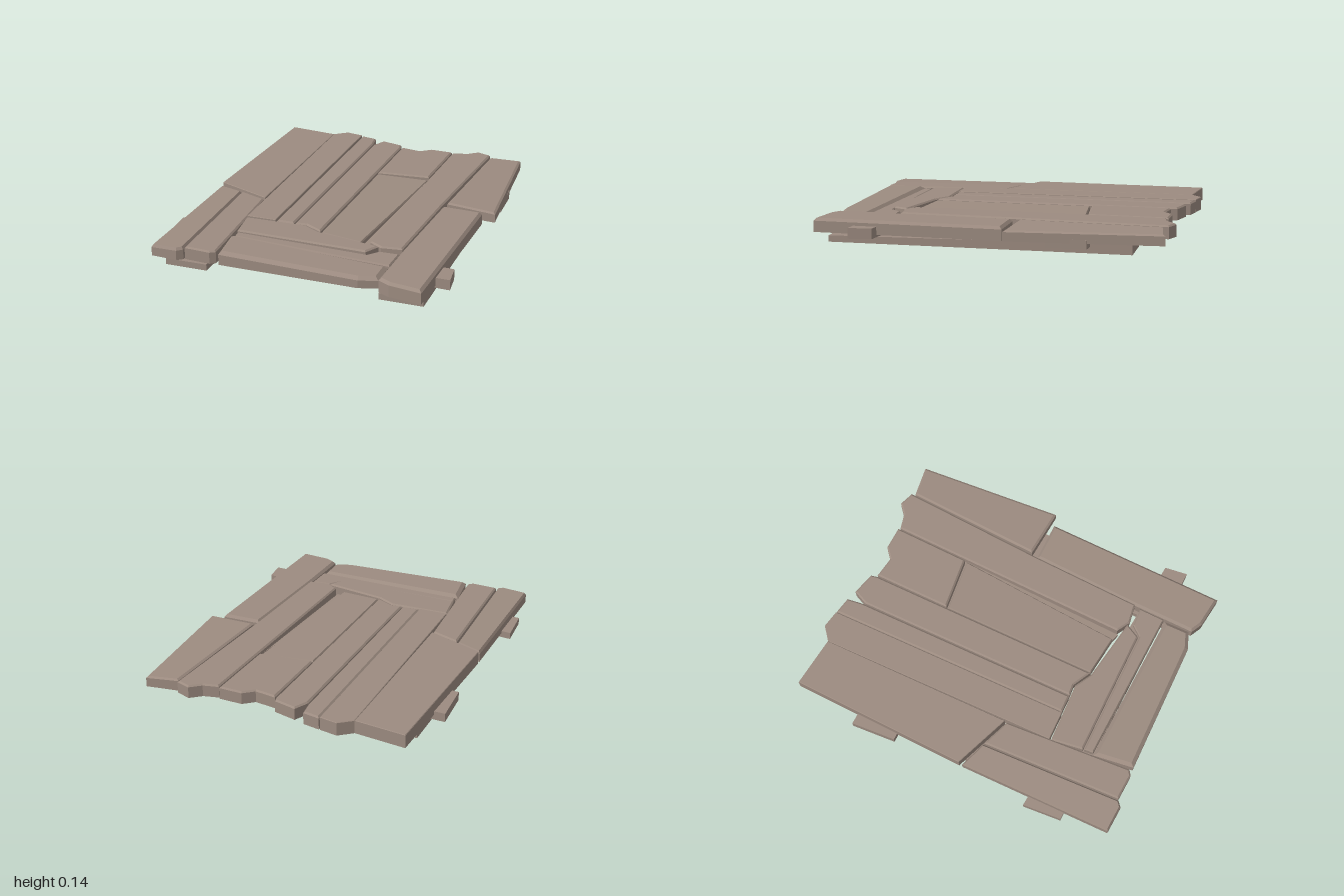
import * as THREE from 'three';

const wood = new THREE.MeshStandardMaterial({ color: 0x9c8b80 });
wood.name = 'weathered wood';
wood.flatShading = true;

const at = (x, z) => new THREE.Vector2(x, z);

// Moves each edge of a closed outline inwards by d, with mitred corners
function inset(pts, d) {
  const n = pts.length;
  const inward = (a, b) => at(a.y - b.y, b.x - a.x).normalize();
  return pts.map((p, i) => {
    const n1 = inward(pts[(i + n - 1) % n], p);
    const n2 = inward(p, pts[(i + 1) % n]);
    return p.clone().addScaledVector(n1.clone().add(n2), d / Math.max(0.5, 1 + n1.dot(n2)));
  });
}

// Slab over a clockwise outline: flat underside, tilted top, chamfered upper edge
function slab(name, outline, { y0 = 0.065, top = 0.137, tx = 0, tz = 0, bevel = 0.009, drop = 0.008 } = {}) {
  const lid = bevel ? inset(outline, bevel) : outline;
  const height = p => top + tx * p.x + tz * p.y;
  const rings = [outline.map(p => [p.x, y0, p.y])];
  if (bevel) rings.push(outline.map(p => [p.x, height(p) - drop, p.y]));
  rings.push(lid.map(p => [p.x, height(p), p.y]));

  const pos = [];
  const tri = (a, b, c) => pos.push(...a, ...b, ...c);
  const n = outline.length;
  for (let r = 0; r + 1 < rings.length; r++) {
    const lo = rings[r], hi = rings[r + 1];
    for (let i = 0; i < n; i++) {
      const j = (i + 1) % n;
      tri(lo[i], hi[i], hi[j]);
      tri(lo[i], hi[j], lo[j]);
    }
  }
  const last = rings[rings.length - 1];
  for (const [a, b, c] of THREE.ShapeUtils.triangulateShape(outline, [])) {
    tri(rings[0][a], rings[0][b], rings[0][c]);
    tri(last[a], last[c], last[b]);
  }
  const geo = new THREE.BufferGeometry();
  geo.setAttribute('position', new THREE.Float32BufferAttribute(pos, 3));
  geo.computeVertexNormals();
  const mesh = new THREE.Mesh(geo, wood);
  mesh.name = name;
  return mesh;
}

// Board as two long edges, each from back to front; broken ends add points between them
function board(name, left, right, { back = [], front = [], ...form } = {}) {
  const [lb, lf] = left, [rb, rf] = right;
  return slab(name, [lb, ...back, rb, rf, ...front, lf], form);
}

// Boards running front to back
function longBoards() {
  const group = new THREE.Group();
  group.name = 'longBoards';
  group.add(
    board('wideLeftBoard', [at(-0.75, -0.97), at(-0.785, 0.055)], [at(-0.46, -0.935), at(-0.46, 0.185)],
      { top: 0.14, bevel: 0.003, drop: 0.003 }),
    board('leftInnerBoard', [at(-0.46, -0.935), at(-0.45, 0.455)], [at(-0.283, -0.975), at(-0.28, 0.455)],
      { top: 0.14, bevel: 0.003, drop: 0.003, back: [at(-0.385, -0.995)] }),
    board('narrowBoard', [at(-0.277, -0.975), at(-0.274, 0.452)], [at(-0.168, -0.86), at(-0.172, 0.452)],
      { back: [at(-0.18, -0.955)] }),
    board('centreBoard', [at(-0.16, -0.85), at(-0.166, 0.452)], [at(0.018, -0.86), at(0.003, 0.503)],
      { back: [at(-0.12, -0.935), at(0.01, -0.9)], front: [at(-0.1, 0.447)] }),
    board('shortBackBoard', [at(0.027, -0.865), at(0.02, -0.415)], [at(0.345, -0.89), at(0.33, -0.445)],
      { back: [at(0.15, -0.845), at(0.21, -0.895)] }),
    board('sunkenBoard', [at(0.02, -0.403), at(0.01, 0.503)], [at(0.328, -0.432), at(0.25, 0.535)],
      { top: 0.13, tx: -0.03, bevel: 0.005 }),
    slab('sunkenBoardChip', [at(0.328, -0.432), at(0.298, 0.55), at(0.25, 0.535)],
      { top: 0.108, tz: -0.03, bevel: 0 }),
    board('rightInnerBoard', [at(0.352, -0.88), at(0.305, 0.54)], [at(0.582, -0.92), at(0.525, -0.07)],
      { back: [at(0.44, -0.9), at(0.5, -0.95)], front: [at(0.495, 0.57), at(0.38, 0.585)] }),
    board('rightBackBoard', [at(0.59, -0.9), at(0.542, -0.11)], [at(0.775, -0.925), at(0.83, -0.085)],
      { top: 0.155, tx: -0.04, bevel: 0.012, back: [], front: [] , }),
    board('rightFrontBoard', [at(0.528, -0.07), at(0.495, 0.57)], [at(0.76, -0.065), at(0.73, 0.99)],
      { y0: 0.052, top: 0.14, tx: -0.015, bevel: 0.014, drop: 0.015, front: [at(0.55, 0.965), at(0.485, 0.93)] }),
    board('leftFrontOuterBoard', [at(-0.785, 0.075), at(-0.785, 0.96)], [at(-0.633, 0.13), at(-0.605, 0.945)],
      { top: 0.16, tx: 0.04, drop: 0.015, front: [at(-0.635, 0.97)] }),
    board('leftFrontInnerBoard', [at(-0.626, 0.135), at(-0.598, 0.94)], [at(-0.463, 0.198), at(-0.42, 0.93)],
      { front: [at(-0.45, 0.95)] }),
  );
  return group;
}

// Short boards laid across the front
function crossBoards() {
  const group = new THREE.Group();
  group.name = 'crossBoards';
  group.add(
    board('crossBoardBack', [at(-0.45, 0.465), at(-0.425, 0.648)], [at(0.365, 0.578), at(0.32, 0.662)],
      { back: [at(-0.1, 0.457), at(0, 0.513)] }),
    board('crossBoardMiddle', [at(-0.42, 0.656), at(-0.415, 0.708)], [at(0.49, 0.605), at(0.485, 0.755)],
      { top: 0.126, tx: -0.01, bevel: 0.006, back: [at(0.33, 0.67), at(0.38, 0.61)] }),
    board('crossBoardFront', [at(-0.43, 0.714), at(-0.4, 0.945)], [at(0.48, 0.765), at(0.48, 0.915)],
      { top: 0.134, tx: -0.02, bevel: 0.02, drop: 0.018, front: [at(0.38, 0.95)] }),
  );
  return group;
}

// Battens and mirrored runners underneath
function supports() {
  const group = new THREE.Group();
  group.name = 'supports';
  group.add(
    board('backBatten', [at(-0.825, -0.595), at(-0.81, -0.34)], [at(0.805, -0.525), at(0.81, -0.305)],
      { y0: 0.036, top: 0.085, bevel: 0 }),
    board('frontBatten', [at(-0.84, 0.475), at(-0.825, 0.695)], [at(0.8, 0.635), at(0.815, 0.765)],
      { y0: 0.04, top: 0.088, tx: 0.012, bevel: 0 }),
  );
  for (const [name, x] of [['rightRunner', -0.61], ['leftRunner', 0.6]]) {
    const edge = side => [at(x + side * 0.12, -0.75), at(x + side * 0.12, 0.91)];
    group.add(board(name, edge(-1), edge(1), { y0: 0, top: 0.046, tz: -0.012, bevel: 0 }));
  }
  return group;
}

export function createModel() {
  const model = new THREE.Group();
  model.name = 'woodenHatch';
  model.add(longBoards(), crossBoards(), supports());
  return model;
}
